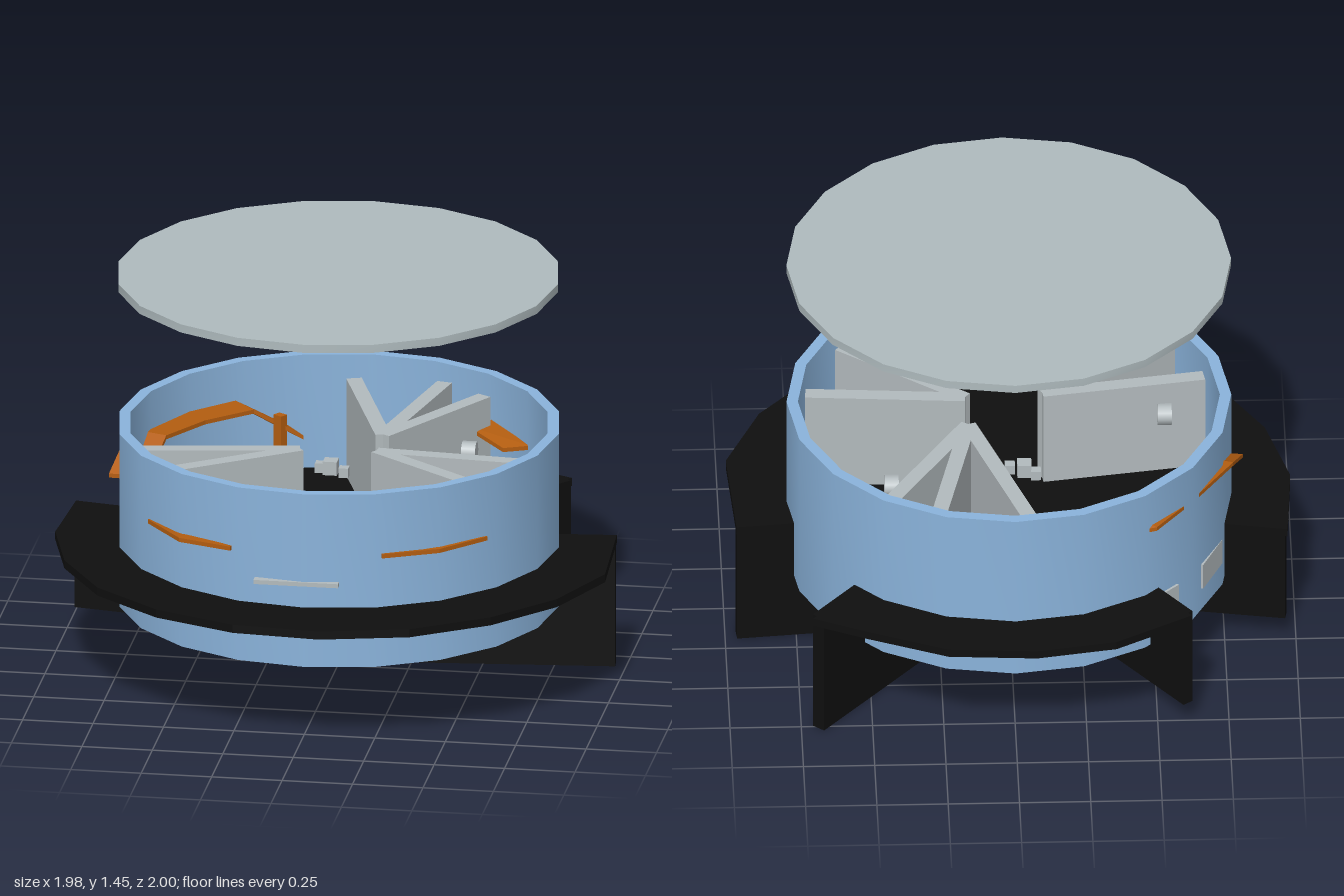
import * as THREE from 'three';
import { toCreasedNormals } from 'three/addons/utils/BufferGeometryUtils.js';

const mat = (name, color, side = THREE.FrontSide) => {
  const m = new THREE.MeshStandardMaterial({ color, side });
  m.name = name;
  return m;
};

export function createModel() {
  const group = new THREE.Group();
  const blue = mat('blue shell', 0x8ab3db);
  const black = mat('black base', 0x0f0f0f);
  const lidGray = mat('lid gray', 0xaebabd);
  const gray = mat('wall gray', 0xb2babd);
  const orange = mat('orange ribbon', 0xb35d10, THREE.DoubleSide);

  const add = (name, geo, material) => {
    const m = new THREE.Mesh(geo, material);
    m.name = name;
    group.add(m);
    return m;
  };

  // Horizontal slab from an [x, z] outline
  const slab = (name, pts, y0, y1, material) => {
    const shape = new THREE.Shape(pts.map(([x, z]) => new THREE.Vector2(x, -z)));
    const geo = new THREE.ExtrudeGeometry(shape, { depth: y1 - y0, bevelEnabled: false });
    geo.rotateX(-Math.PI / 2).translate(0, y0, 0);
    return add(name, geo, material);
  };

  // Upright panel running between two [x, z] points
  const wall = (name, a, b, y0, y1, t, material) => {
    const dx = b[0] - a[0], dz = b[1] - a[1];
    const m = add(name, new THREE.BoxGeometry(Math.hypot(dx, dz), y1 - y0, t), material);
    m.position.set((a[0] + b[0]) / 2, (y0 + y1) / 2, (a[1] + b[1]) / 2);
    m.rotation.y = -Math.atan2(dz, dx);
    return m;
  };

  // Sloped ribbon through stations [xInner, yInner, zInner, xOuter, yOuter, zOuter]
  const ribbon = (name, stations, t = 0.015) => {
    const pos = [], idx = [];
    stations.forEach(([a, b, c, d, e, f], i) => {
      pos.push(a, b, c, d, e, f, d, e - t, f, a, b - t, c);
      if (!i) return;
      for (let k = 0; k < 4; k++) {
        const p = (i - 1) * 4 + k, q = (i - 1) * 4 + (k + 1) % 4;
        idx.push(p, q, q + 4, p, q + 4, p + 4);
      }
    });
    const e = (stations.length - 1) * 4;
    idx.push(0, 2, 1, 0, 3, 2, e, e + 1, e + 2, e, e + 2, e + 3);
    let geo = new THREE.BufferGeometry();
    geo.setAttribute('position', new THREE.Float32BufferAttribute(pos, 3));
    geo.setIndex(idx);
    geo = geo.toNonIndexed();
    geo.computeVertexNormals();
    return add(name, geo, orange);
  };

  // Cylindrical shell
  const profile = [[0.74, 0.26], [0.78, 0.26], [0.78, 0.9], [0.74, 0.9], [0.74, 0.26]]
    .map(([r, y]) => new THREE.Vector2(r, y));
  add('shell', toCreasedNormals(new THREE.LatheGeometry(profile, 20), 0.5), blue).position.z = -0.03;

  // Raised lid
  add('lid', toCreasedNormals(new THREE.CylinderGeometry(0.78, 0.78, 0.03, 20), 0.5), lidGray)
    .position.set(0, 1.447, -0.01);

  // Floor and the two flange arcs
  add('floor', new THREE.CylinderGeometry(0.745, 0.745, 0.03, 20), black).position.set(0, 0.465, -0.03);
  const innerArc = (from, to, n) => Array.from({ length: n + 1 }, (_, i) => {
    const a = THREE.MathUtils.degToRad(from + (to - from) * i / n);
    return [0.76 * Math.cos(a), 0.76 * Math.sin(a) - 0.02];
  });
  slab('frontFlange', [[-0.97, -0.26], [-0.99, 0.08], [-0.91, 0.38], [-0.75, 0.65], [-0.51, 0.85],
    [-0.22, 0.97], [0.09, 0.995], [0.4, 0.92], [0.66, 0.75], [0.86, 0.52], [0.985, 0.23], [0.96, -0.19],
    ...innerArc(-11, 195, 14)], 0.45, 0.48, black);
  slab('rearFlange', [[-0.62, -0.79], [-0.35, -0.95], [-0.07, -1], [0.24, -0.98], [0.52, -0.86],
    [0.71, -0.77], ...innerArc(-48, -128, 6)], 0.45, 0.48, black);

  // Chute walls under the flange ends
  wall('leftChuteFrontWall', [0.96, -0.165], [0.23, -0.095], 0.01, 0.48, 0.05, black);
  wall('leftChuteRearWall', [0.69, -0.76], [0.24, -0.22], 0.01, 0.48, 0.05, black);
  wall('rightChuteFrontWall', [-0.965, -0.235], [-0.2, -0.1], 0.1, 0.48, 0.04, black);
  wall('rightChuteRearWall', [-0.605, -0.775], [-0.21, -0.25], 0.1, 0.48, 0.04, black);

  // Chute plates and outlet panels
  slab('leftChutePlate', [[0.27, -0.16], [0.73, -0.2], [0.56, -0.55]], 0.225, 0.255, gray);
  slab('rightChutePlate', [[-0.24, -0.19], [-0.7, -0.25], [-0.5, -0.53]], 0.3, 0.33, gray);
  for (const [start, width] of [[220.5, 7.5], [239, 13]]) {
    const a = THREE.MathUtils.degToRad(start), w = THREE.MathUtils.degToRad(width);
    const p = (t) => [0.776 * Math.sin(t), 0.776 * Math.cos(t) - 0.03];
    wall('outletPanel', p(a), p(a + w), 0.35, 0.45, 0.009, gray);
  }

  // V-shaped dividers inside the shell
  const dividers = [
    { apex: [-0.12, 0.09], ends: [[-0.69, 0.18], [-0.58, 0.41]] },
    { apex: [0.145, -0.1], ends: [[0.27, -0.69], [0.43, -0.57], [-0.05, -0.68]] },
    { apex: [0.15, 0.07], ends: [[0.71, 0.11], [0.58, 0.4]] },
  ];
  for (const { apex, ends } of dividers)
    for (const end of ends) wall('divider', apex, end, 0.48, 0.84, 0.055, gray);

  // Orange ribbons passing through the shell
  ribbon('rearRibbon', [
    [-0.68, 0.66, -0.04, -0.82, 0.66, -0.05],
    [-0.64, 0.76, -0.2, -0.78, 0.76, -0.25],
    [-0.53, 0.76, -0.38, -0.63, 0.76, -0.48],
    [-0.38, 0.76, -0.52, -0.5, 0.76, -0.65],
    [-0.2, 0.68, -0.5, -0.27, 0.68, -0.6],
  ]);
  ribbon('frontRightRibbon', [
    [-0.53, 0.67, 0.42, -0.6, 0.68, 0.47],
    [-0.42, 0.68, 0.57, -0.46, 0.68, 0.65],
    [-0.25, 0.67, 0.64, -0.27, 0.68, 0.715],
  ]);
  ribbon('frontLeftRibbon', [
    [0.25, 0.67, 0.64, 0.27, 0.68, 0.715],
    [0.42, 0.68, 0.57, 0.46, 0.68, 0.625],
    [0.53, 0.67, 0.42, 0.605, 0.68, 0.465],
  ]);
  ribbon('sideRibbon', [
    [0.38, 0.74, -0.52, 0.45, 0.74, -0.6],
    [0.52, 0.7, -0.42, 0.61, 0.7, -0.46],
  ]);
  wall('ribbonPost', [-0.3, -0.52], [-0.27, -0.5], 0.48, 0.75, 0.03, orange);

  // Front slot plate
  wall('slotPlate', [-0.18, 0.735], [0.12, 0.735], 0.56, 0.575, 0.04, gray);

  // Small blocks and side knobs
  for (const [x, y, z, s] of [[-0.05, 0.69, -0.16, 0.05], [0, 0.68, -0.14, 0.035], [-0.09, 0.68, -0.18, 0.035]])
    add('block', new THREE.BoxGeometry(s, s, s), gray).position.set(x, y, z);
  for (const [x, z] of [[-0.55, 0.12], [0.42, -0.3]]) {
    const knob = add('knob', new THREE.CylinderGeometry(0.04, 0.04, 0.05, 10), gray);
    knob.position.set(x, 0.72, z);
    knob.rotation.z = Math.PI / 2;
  }
  return group;
}
